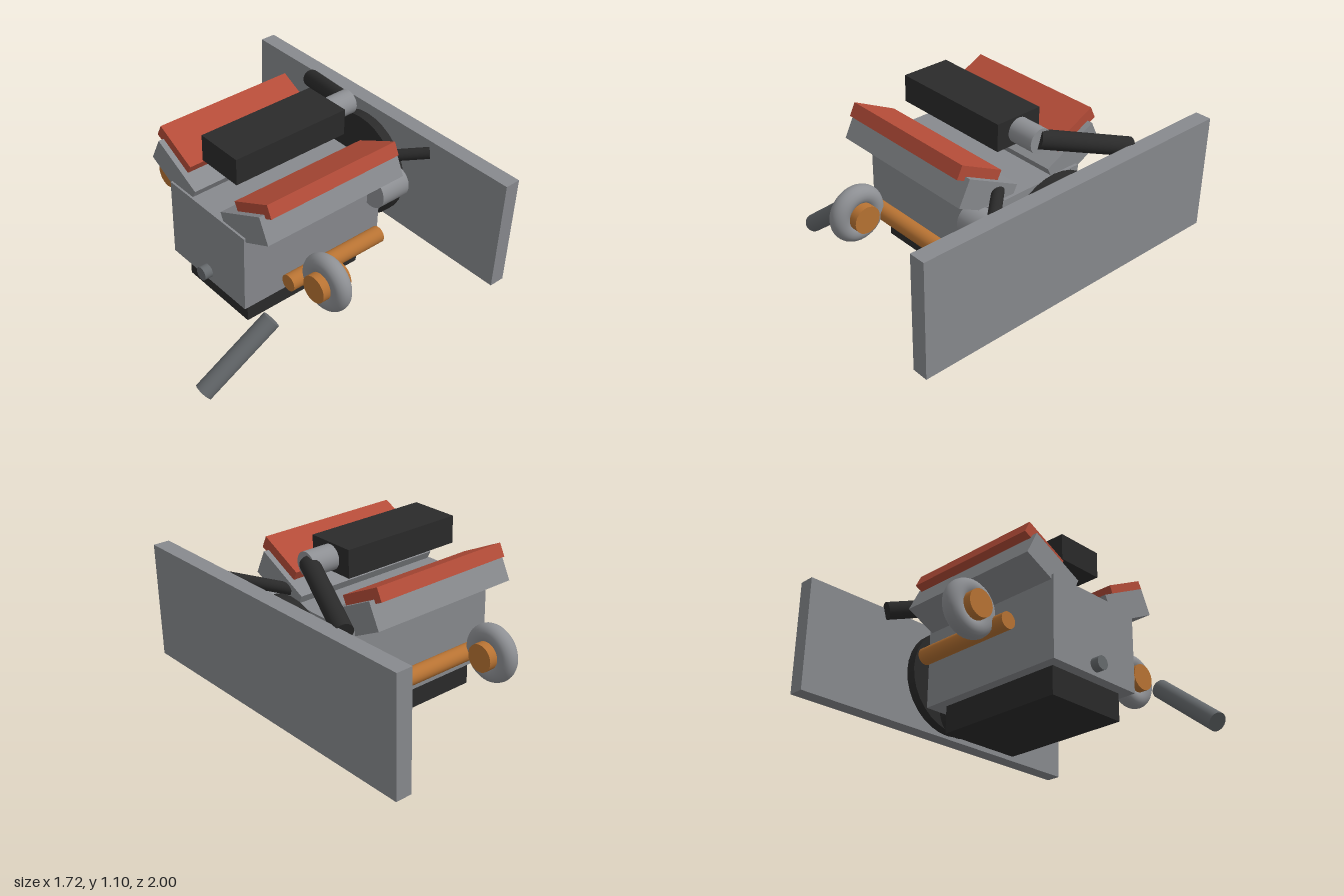
import * as THREE from 'three';

const mat = (name, color) => {
  const m = new THREE.MeshStandardMaterial({ color });
  m.name = name;
  return m;
};

export function createModel() {
  const engine = new THREE.Group();
  engine.name = 'engine';

  const castGrey = mat('cast grey', 0x888a8e);
  const black = mat('black', 0x2a2a2a);
  const red = mat('red', 0xb44c38);
  const copper = mat('copper', 0xb87333);
  const steel = mat('polished steel', 0x8e9094);
  const pipeGrey = mat('pipe grey', 0x666a6d);

  const add = (name, geometry, material, x, y, z) => {
    const mesh = new THREE.Mesh(geometry, material);
    mesh.name = name;
    mesh.position.set(x, y, z);
    engine.add(mesh);
    return mesh;
  };

  // Box given by its limits on each axis
  const box = (name, material, [x0, x1], [y0, y1], [z0, z1]) =>
    add(name, new THREE.BoxGeometry(x1 - x0, y1 - y0, z1 - z0), material,
      (x0 + x1) / 2, (y0 + y1) / 2, (z0 + z1) / 2);

  // Cylinder between two points
  const rod = (name, material, radius, from, to) => {
    const a = new THREE.Vector3(...from);
    const b = new THREE.Vector3(...to);
    const dir = b.clone().sub(a);
    const mid = a.clone().add(b).multiplyScalar(0.5);
    const mesh = add(name, new THREE.CylinderGeometry(radius, radius, dir.length(), 32),
      material, mid.x, mid.y, mid.z);
    mesh.quaternion.setFromUnitVectors(new THREE.Vector3(0, 1, 0), dir.normalize());
    return mesh;
  };

  // Block, oil pan, radiator
  box('block', castGrey, [-0.425, 0.54], [0.275, 0.755], [-0.32, 0.32]);
  box('oilPan', black, [-0.36, 0.445], [0.113, 0.275], [-0.26, 0.26]);
  box('radiator', castGrey, [0.765, 0.86], [0.243, 0.918], [-1, 1]);

  // Intake on top with its throttle body
  box('intake', black, [-0.33, 0.41], [0.953, 1.11], [-0.145, 0.145]);
  rod('throttleBody', steel, 0.07, [0.41, 1.03, 0], [0.57, 1.03, 0]);

  // Both banks: head, valve cover, exhaust manifold and turbo
  const tilt = 0.46;
  for (const s of [1, -1]) {
    const side = s > 0 ? 'front' : 'rear';
    add(side + 'CylinderHead', new THREE.BoxGeometry(0.935, 0.157, 0.357), castGrey,
      0.055, 0.81, s * 0.305).rotation.x = -s * tilt;
    add(side + 'ValveCover', new THREE.BoxGeometry(0.87, 0.078, 0.29), red,
      0.055, 0.932, s * 0.338).rotation.x = -s * tilt;
    rod(side + 'ExhaustManifold', copper, 0.048, [-0.263, 0.483, s * 0.483], [0.38, 0.483, s * 0.483]);
    rod(side + 'TurboCore', copper, 0.079, [-0.233, 0.532, s * 0.645], [-0.043, 0.532, s * 0.645]);
    add(side + 'TurboHousing', new THREE.TorusGeometry(0.11, 0.055, 20, 40), steel,
      -0.14, 0.532, s * 0.645).rotation.y = Math.PI / 2;
  }

  // Crankshaft, pulley, fan and alternator
  rod('crankshaft', pipeGrey, 0.04, [-0.475, 0.338, 0], [0.59, 0.338, 0]);
  rod('crankPulley', black, 0.128, [0.587, 0.338, 0], [0.65, 0.338, 0]);
  rod('fan', black, 0.32, [0.67, 0.565, 0], [0.73, 0.565, 0]);
  rod('alternator', steel, 0.095, [0.443, 0.662, 0.352], [0.635, 0.662, 0.352]);

  // Hoses and the loose tailpipe
  rod('upperHose', black, 0.052, [0.55, 1.035, 0], [0.735, 0.885, -0.492]);
  rod('lowerHose', black, 0.033, [0.5, 0.8, 0.22], [0.745, 0.86, 0.477]);
  rod('tailpipe', pipeGrey, 0.053, [-0.83, 0.047, 0.482], [-0.428, 0.37, 0.546]);

  return engine;
}
